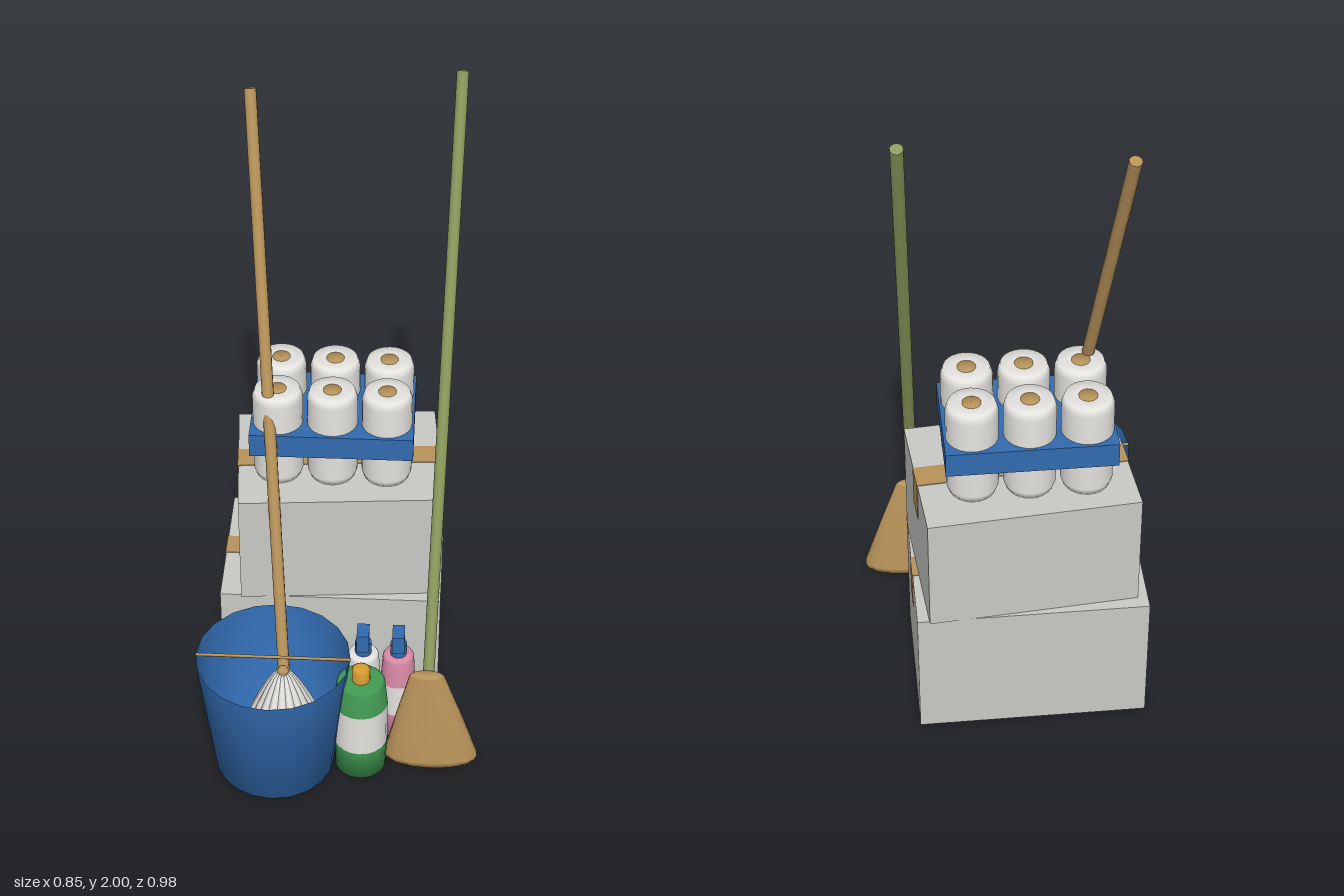
import * as THREE from 'three';

const mat = (name, color, side = THREE.FrontSide) => {
  const m = new THREE.MeshStandardMaterial({ color, side });
  m.name = name;
  return m;
};

export function createModel() {
  const root = new THREE.Group();
  root.name = 'cleaningSupplies';
  const grey = mat('boxGrey', 0xc9c9c5);
  const white = mat('white', 0xe6e4e0);
  const blue = mat('blue', 0x326bb0, THREE.DoubleSide);
  const tan = mat('tan', 0xb8935a);
  const olive = mat('olive', 0x8c9a5c);
  const green = mat('green', 0x429c54);
  const pink = mat('pink', 0xdb8aa8);
  const amber = mat('amber', 0xd9a033);

  const add = (parent, name, geo, material, x = 0, y = 0, z = 0) => {
    const m = new THREE.Mesh(geo, material);
    m.name = name;
    m.position.set(x, y, z);
    parent.add(m);
    return m;
  };
  const group = (name, x, y, z) => {
    const g = new THREE.Group();
    g.name = name;
    g.position.set(x, y, z);
    root.add(g);
    return g;
  };
  const box = (w, h, d) => new THREE.BoxGeometry(w, h, d);
  const lathe = (pts, sides) =>
    new THREE.LatheGeometry(pts.map(p => new THREE.Vector2(p[0], p[1])), sides);
  // Straight rod between two points
  const rod = (name, a, b, r, material, sides = 10) => {
    const A = new THREE.Vector3(...a), B = new THREE.Vector3(...b);
    const dir = B.clone().sub(A);
    const m = add(root, name, new THREE.CylinderGeometry(r, r, dir.length(), sides), material);
    m.position.copy(A).add(B).multiplyScalar(0.5);
    m.quaternion.setFromUnitVectors(new THREE.Vector3(0, 1, 0), dir.normalize());
  };

  // Stacked boxes, each with a tape strip running over the top and down both ends
  const carton = (name, w, h, d, x, y, z, turn) => {
    const g = group(name, x, y, z);
    g.rotation.y = turn;
    add(g, 'carton', box(w, h, d), grey, 0, h / 2, 0);
    add(g, 'tapeTop', box(w + 0.004, 0.004, 0.08), tan, 0, h, 0);
    for (const s of [-1, 1])
      add(g, 'tapeEnd', box(0.004, 0.125, 0.08), tan, s * w / 2, h - 0.0605, 0);
  };
  carton('lowerBox', 0.675, 0.42, 0.475, -0.043, 0, -0.2475, 0);
  carton('upperBox', 0.612, 0.365, 0.446, -0.028, 0.42, -0.2475, 0.082);

  // Pack of six paper rolls held by a wrap
  const pack = group('rollPack', -0.043, 0.785, -0.25);
  add(pack, 'wrap', box(0.485, 0.075, 0.33), blue, 0, 0.1525, 0);
  const rollGeo = lathe([[0, 0], [0.066, 0], [0.075, 0.025], [0.075, 0.28],
    [0.067, 0.305], [0.028, 0.305], [0, 0.295]], 24);
  const coreGeo = lathe([[0.027, 0.29], [0.027, 0.307], [0, 0.307]], 14);
  for (const x of [-0.162, 0, 0.162]) for (const z of [-0.082, 0.082]) {
    add(pack, 'roll', rollGeo, white, x, 0, z);
    add(pack, 'rollCore', coreGeo, tan, x, 0, z);
  }

  // Bucket with its handle lying across the rim
  add(root, 'bucket', lathe([[0, 0.003], [0.18, 0.003], [0.23, 0.42]], 20), blue, -0.197, 0, 0.26);
  rod('bucketHandle', [-0.427, 0.415, 0.26], [0.033, 0.415, 0.26], 0.005, tan, 6);

  // Mop: pole, hub and a ring of drooping strands
  rod('mopPole', [-0.167, 0.2, 0.208], [-0.289, 1.92, -0.455], 0.018, tan);
  const mop = group('mopHead', -0.168, 0, 0.26);
  add(mop, 'mopHub', new THREE.SphereGeometry(0.018, 10, 8), tan, 0, 0.36, 0);
  const strandGeo = new THREE.SphereGeometry(1, 6, 6);
  for (let i = 0; i < 16; i++) {
    const pivot = new THREE.Group();
    pivot.name = 'strandPivot';
    pivot.rotation.y = i / 16 * Math.PI * 2;
    mop.add(pivot);
    const s = add(pivot, 'strand', strandGeo, white, 0.073, 0.23, 0);
    s.scale.set(0.016, 0.145, 0.019);
    s.rotation.z = 0.41;
  }

  // Broom: pole and a flared, flattened head leaning slightly
  rod('broomPole', [0.265, 0.29, 0.215], [0.307, 1.992, -0.455], 0.018, olive);
  const headGeo = lathe([[0, 0], [0.137, 0], [0.145, 0.02], [0.1, 0.18],
    [0.053, 0.335], [0.045, 0.342], [0, 0.342]], 14);
  const p = headGeo.attributes.position;
  for (let i = 0; i < p.count; i++) {
    p.setX(i, p.getX(i) - p.getY(i) * 0.055);
    p.setZ(i, p.getZ(i) * 0.38);
  }
  headGeo.computeVertexNormals();
  add(root, 'broomHead', headGeo, tan, 0.28, 0, 0.232);

  // Bottles: lower body, label band and shoulder
  const bottle = (name, x, z, r, color, lo, hi, top, neck) => {
    const g = group(name, x, 0, z);
    add(g, 'lowerBody', lathe([[0, 0], [r * 0.95, 0], [r, lo]], 20), color);
    add(g, 'label', lathe([[r, lo], [r, hi]], 20), white);
    add(g, 'shoulder', lathe([[r, hi], [r * 0.9, top - 0.01], [r * 0.8, top], [neck, top], [0, top]], 20), color);
    return g;
  };
  const big = bottle('greenBottle', 0.065, 0.26, 0.081, green, 0.105, 0.25, 0.34, 0.03);
  add(big, 'cap', lathe([[0.028, 0], [0.028, 0.045], [0.02, 0.05], [0, 0.05]], 14), amber, 0, 0.335, 0);

  // Spray bottles with collar, stem and trigger head
  for (const [name, x, color] of [['whiteSpray', 0.065, white], ['pinkSpray', 0.172, pink]]) {
    const g = bottle(name, x, 0.107, 0.053, color, 0.095, 0.21, 0.31, 0.025);
    add(g, 'collar', new THREE.CylinderGeometry(0.025, 0.025, 0.045, 12), blue, 0, 0.33, 0);
    add(g, 'stem', new THREE.CylinderGeometry(0.012, 0.012, 0.03, 8), blue, 0, 0.36, 0);
    add(g, 'sprayHead', box(0.037, 0.062, 0.06), blue, 0, 0.387, 0.024);
  }
  return root;
}
